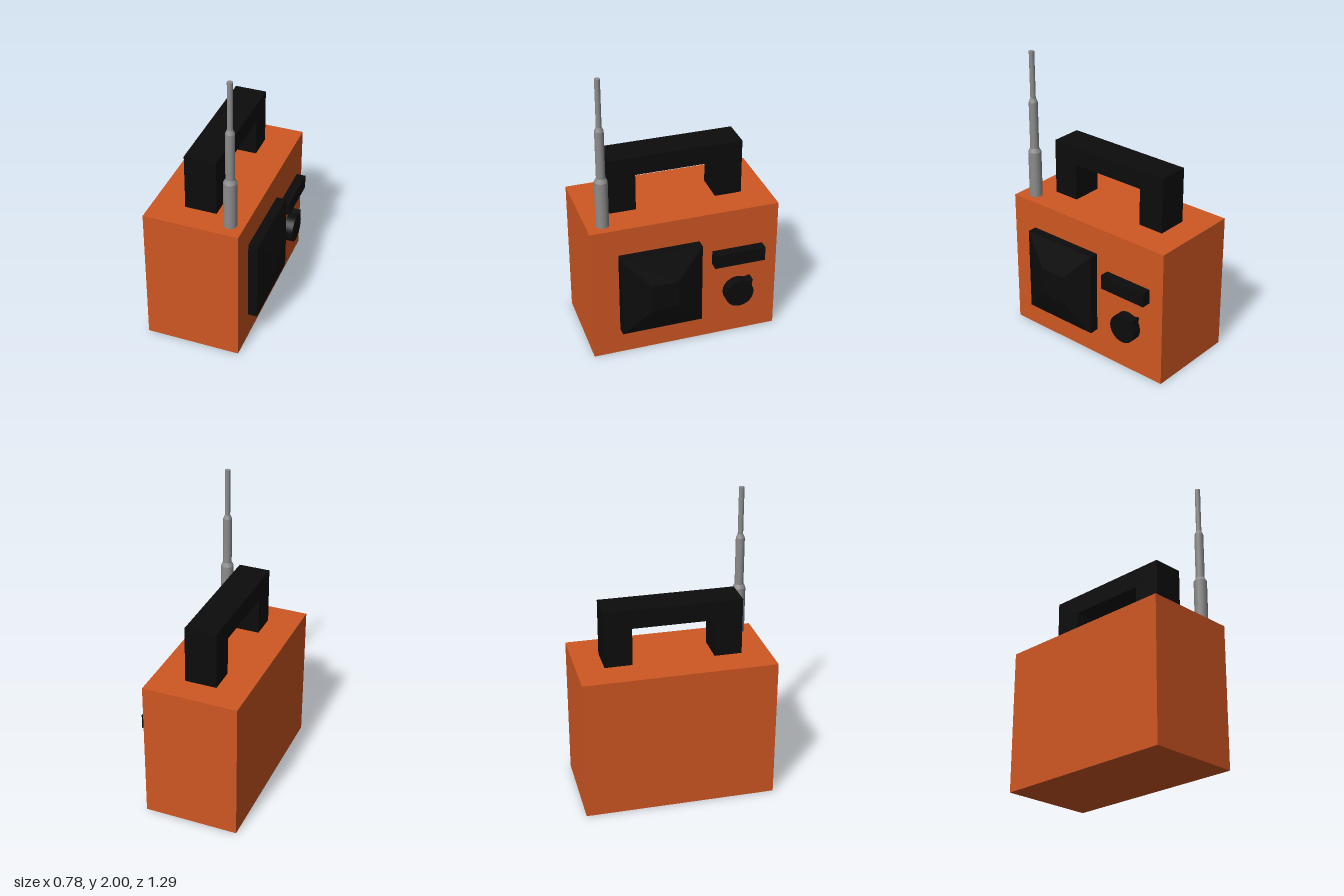
import * as THREE from 'three';

const paint = (name, color) => {
  const m = new THREE.MeshStandardMaterial({ color });
  m.name = name;
  return m;
};

export function createModel() {
  const orange = paint('orange casing', 0xcf5722);
  const black = paint('black plastic', 0x0c0c0c);
  const grey = paint('grey metal', 0x8c8c8c);
  const radio = new THREE.Group();
  radio.name = 'portableRadio';

  const add = (name, geometry, material, x = 0, y = 0, z = 0, parent = radio) => {
    const mesh = new THREE.Mesh(geometry, material);
    mesh.name = name;
    mesh.position.set(x, y, z);
    parent.add(mesh);
    return mesh;
  };
  // Side profile (horizontal = -z, vertical = y) extruded towards +x
  const sideExtrude = (shape, depth) =>
    new THREE.ExtrudeGeometry(shape, { depth, bevelEnabled: false, curveSegments: 28 }).rotateY(Math.PI / 2);

  const face = 0.255; // x of the control face
  const raise = 0.065; // depth of the raised controls

  add('casing', new THREE.BoxGeometry(0.645, 0.97, 1.29), orange, face - 0.3225, 0.485, 0);

  // Carrying handle: a squared arch
  const arch = new THREE.Shape([
    [-0.46, 0.97], [-0.275, 0.97], [-0.275, 1.228], [0.275, 1.228],
    [0.275, 0.97], [0.46, 0.97], [0.46, 1.357], [-0.46, 1.357],
  ].map(([u, v]) => new THREE.Vector2(u, v)));
  add('handle', sideExtrude(arch, 0.215), black, -0.175);

  // Speaker: square base with a front tapering to a third of its size
  const speaker = new THREE.Group();
  speaker.name = 'speaker';
  speaker.position.set(face, 0.485, 0.183);
  radio.add(speaker);
  add('speakerBase', new THREE.BoxGeometry(raise, 0.586, 0.555), black, raise / 2, 0, 0, speaker);
  const cone = new THREE.BoxGeometry(0.068, 0.586, 0.555);
  const p = cone.attributes.position;
  for (let i = 0; i < p.count; i++) {
    if (p.getX(i) > 0) p.setXYZ(i, p.getX(i), p.getY(i) / 3, p.getZ(i) / 3);
  }
  cone.computeVertexNormals();
  add('speakerFront', cone, black, raise + 0.034, 0, 0, speaker);

  add('tuningDisplay', new THREE.BoxGeometry(raise, 0.1, 0.354), black, face + raise / 2, 0.63, -0.362);

  // Round dial with a pointed marker at its upper corner
  const dial = new THREE.Shape();
  dial.absarc(0, 0, 0.1, Math.PI * 0.34, Math.PI * 2.15, false);
  dial.lineTo(0.085, 0.062);
  dial.lineTo(0.092, 0.097);
  dial.closePath();
  add('tuningDial', sideExtrude(dial, raise), black, face, 0.341, -0.365);

  // Telescopic antenna: [bottom y, top y, bottom radius, top radius]
  const antenna = new THREE.Group();
  antenna.name = 'antenna';
  antenna.position.set(0.162, 0, 0.535);
  radio.add(antenna);
  [
    [0.97, 1.295, 0.044, 0.044], [1.295, 1.322, 0.044, 0.03],
    [1.322, 1.65, 0.03, 0.03], [1.65, 1.677, 0.03, 0.018],
    [1.677, 2, 0.018, 0.018],
  ].forEach(([y0, y1, r0, r1], i) =>
    add('antennaSection' + (i + 1), new THREE.CylinderGeometry(r1, r0, y1 - y0, 16), grey, 0, (y0 + y1) / 2, 0, antenna));

  return radio;
}
